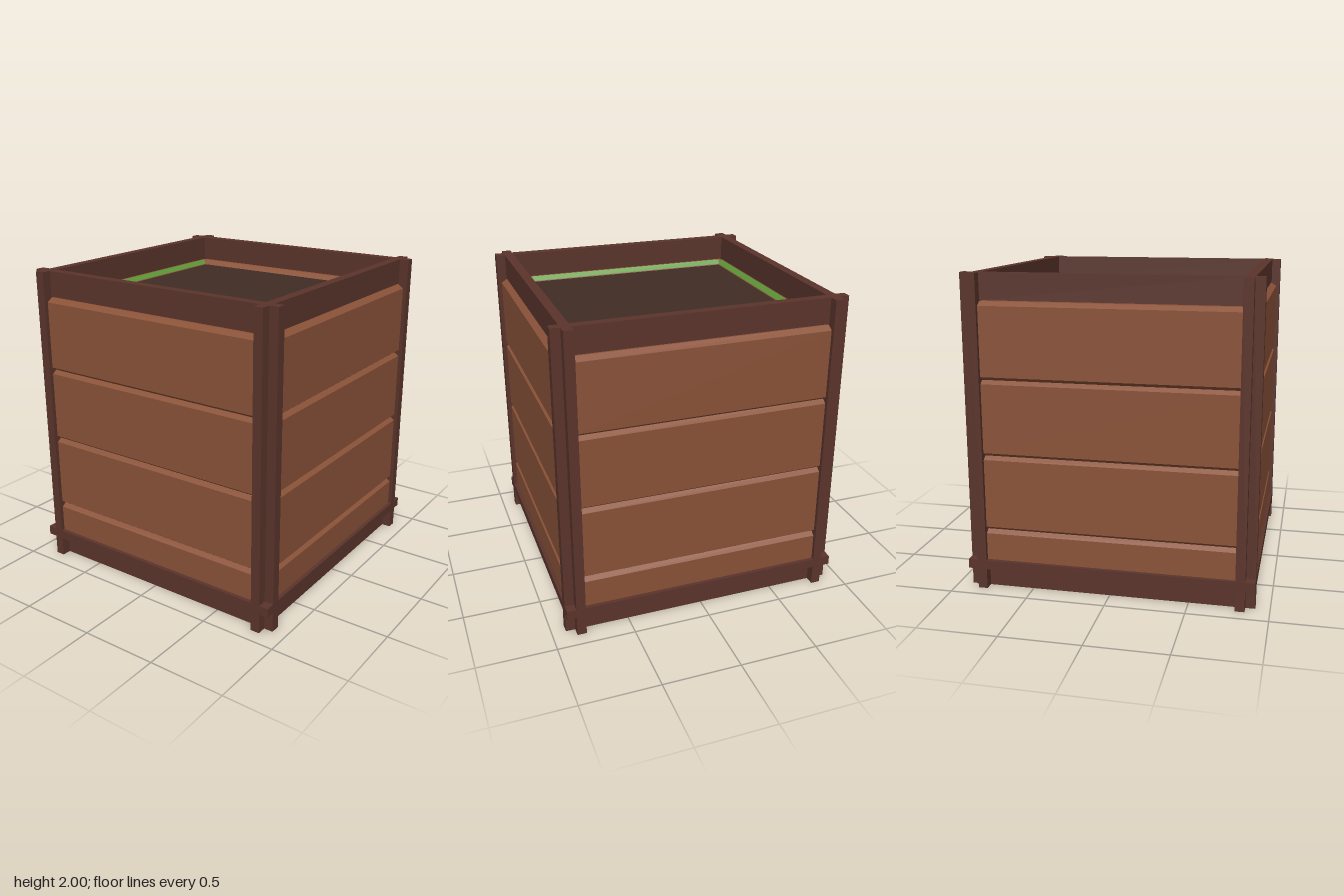
import * as THREE from 'three';

const FRAME = new THREE.MeshStandardMaterial({ color: 0x5a342b, flatShading: true });
const PLANK = new THREE.MeshStandardMaterial({ color: 0x8a5238, flatShading: true });
const LID = new THREE.MeshStandardMaterial({ color: 0x3f2c25, flatShading: true });
const GREEN = new THREE.MeshStandardMaterial({ color: 0x5f9c38, flatShading: true });

const IN = 0.79, MID = 0.85, OUT = 0.91; // layers of the frame, measured from the centre
const FACE = 0.885, INNER = 0.755;       // outer and inner plank faces

function add(parent, name, geometry, material) {
  const mesh = new THREE.Mesh(geometry, material);
  mesh.name = name;
  parent.add(mesh);
  return mesh;
}

function box(parent, name, material, size, pos) {
  add(parent, name, new THREE.BoxGeometry(...size), material).position.set(...pos);
}

const shapeOf = points => new THREE.Shape(points.map(p => new THREE.Vector2(...p)));

// Extrudes a (z, y) profile along x, centred on x = 0
function alongX(points, length) {
  const geometry = new THREE.ExtrudeGeometry(shapeOf(points), { depth: length, bevelEnabled: false });
  return geometry.translate(0, 0, -length / 2).rotateY(-Math.PI / 2);
}

// Plank wall section: V grooves between planks, bevelled top edges
function wallProfile() {
  const points = [[INNER, 0.16], [FACE, 0.16]];
  for (const y of [0.387, 0.87, 1.35]) {
    points.push([FACE, y - 0.022], [FACE - 0.03, y], [FACE, y + 0.022]);
  }
  points.push([FACE, 1.805], [MID, 1.83], [IN - 0.005, 1.83], [INNER, 1.8]);
  return points;
}

export function createModel() {
  const crate = new THREE.Group();
  crate.name = 'crate';

  const wall = alongX(wallProfile(), IN * 2);
  const strip = alongX([[INNER - 0.003, 1.795], [INNER, 1.795], [IN, 1.83], [IN - 0.008, 1.833]], 1.53);
  const postShape = shapeOf([[IN, IN], [OUT, IN], [OUT, MID], [MID, MID], [MID, OUT], [IN, OUT]]);
  const post = new THREE.ExtrudeGeometry(postShape, { depth: 2, bevelEnabled: false }).rotateX(-Math.PI / 2);

  // Four identical sides, each with one corner post
  ['front', 'left', 'back', 'right'].forEach((label, i) => {
    const side = new THREE.Group();
    side.name = label + 'Side';
    side.rotation.y = i * Math.PI / 2;
    crate.add(side);

    add(side, 'cornerPost', post, FRAME);
    add(side, 'plankWall', wall, PLANK);
    const mid = (IN + MID) / 2;
    box(side, 'topRail', FRAME, [IN * 2, 0.165, MID - IN], [0, 1.9175, mid]);
    box(side, 'lowerRail', FRAME, [IN * 2, 0.19, MID - IN], [0, 0.095, mid]);
    // Outer base rail, lapping over the corners on front and back
    const length = i % 2 ? MID * 2 : OUT * 2;
    box(side, 'baseRail', FRAME, [length, 0.06, OUT - MID], [0, 0.16, (MID + OUT) / 2]);
    // Green inner edge on the front and right-hand (-x) walls
    if (label === 'front' || label === 'right') add(side, 'greenInnerEdge', strip, GREEN);
  });

  // Recessed lid and floor
  box(crate, 'lid', LID, [1.53, 0.03, 1.53], [0, 1.785, 0]);
  box(crate, 'floor', PLANK, [IN * 2, 0.04, IN * 2], [0, 0.1, 0]);

  return crate;
}
